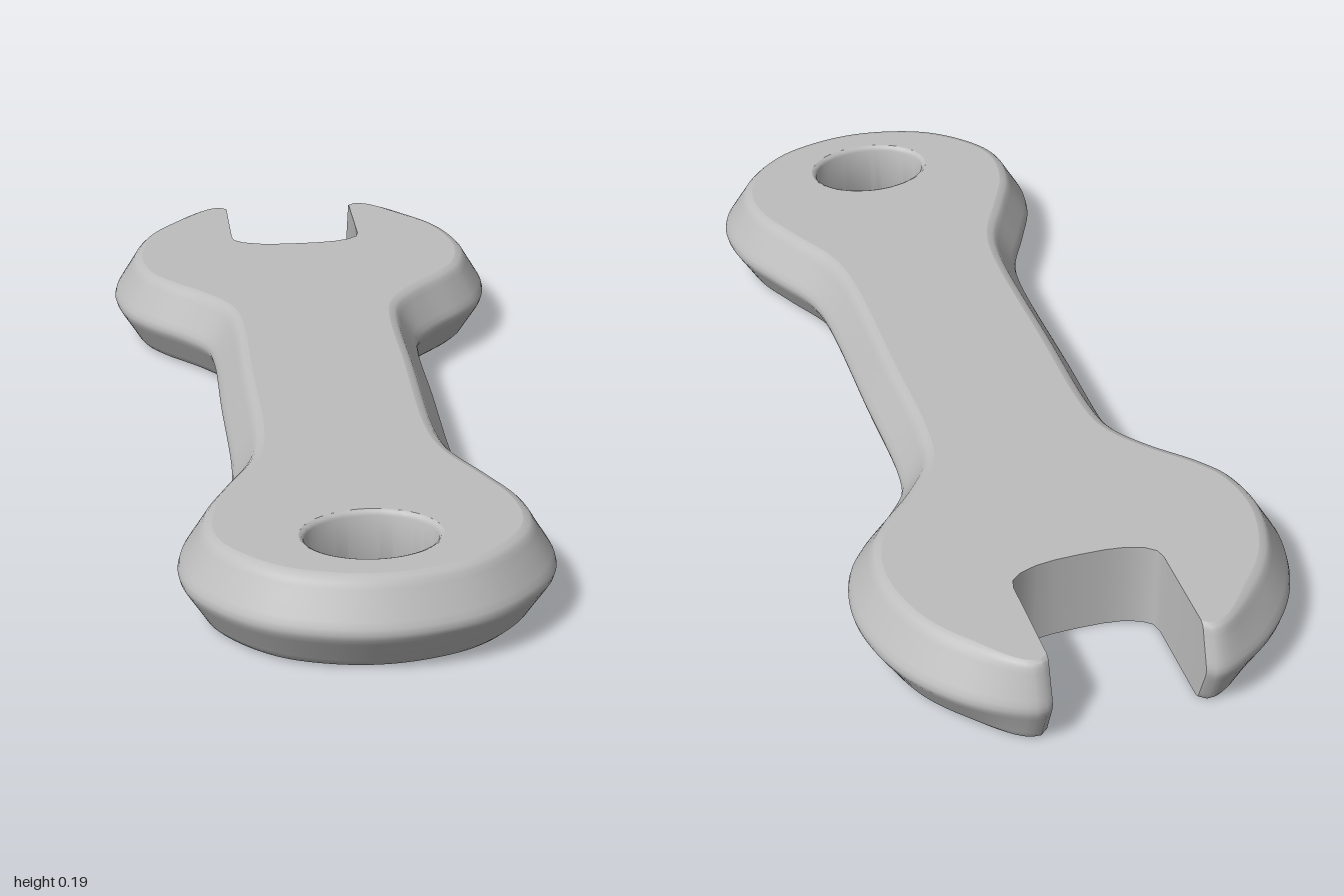
import * as THREE from 'three';
import { toCreasedNormals } from 'three/addons/utils/BufferGeometryUtils.js';

const HEIGHT = 0.186;
const steel = new THREE.MeshStandardMaterial({ color: 0xbdbdbd });
steel.name = 'steel grey';

// Right half of the outer edge, as [x, z] from jaw tip to handle end
const halfEdge = [
  [0.15, -0.985], [0.165, -0.997], [0.2, -0.992], [0.3, -0.93], [0.39, -0.815], [0.432, -0.66],
  [0.41, -0.53], [0.365, -0.46], [0.285, -0.375], [0.24, -0.31], [0.228, -0.24], [0.227, 0],
  [0.228, 0.34], [0.243, 0.42], [0.295, 0.525], [0.342, 0.63], [0.356, 0.73], [0.338, 0.81],
  [0.28, 0.89], [0.2, 0.952], [0.1, 0.988],
];
// Right half of the slot floor
const halfSlot = [[0.05, -0.701], [0.09, -0.706], [0.125, -0.718], [0.145, -0.734], [0.15, -0.755]];

const mirrored = (pts) => pts.map(([x, z]) => [-x, z]).reverse();

// Edge profile: [height, inset], widest at mid height
const upper = [[0.093, 0], [0.104, 0.003], [0.116, 0.01], [0.15, 0.031], [0.165, 0.04],
  [0.175, 0.046], [0.182, 0.053], [HEIGHT, 0.066]];
const profile = [...upper.slice(1).reverse().map(([y, d]) => [HEIGHT - y, d]), ...upper];

// Loop points with the direction in which each is inset
function outline() {
  const pts = [...halfEdge, [0, 1], ...mirrored(halfEdge)];
  const curve = new THREE.CatmullRomCurve3(pts.map(([x, z]) => new THREE.Vector3(x, 0, z)));
  const N = 260;
  const loop = [];
  for (let i = 0; i <= N; i++) {
    const p = curve.getPointAt(i / N), t = curve.getTangentAt(i / N);
    let dx = -t.z, dz = t.x;
    if (p.z < -0.8) { // jaw tips are inset along z only, so the slot stays straight
      const w = THREE.MathUtils.smoothstep(Math.abs(p.x), 0.15, 0.33);
      dx *= w;
      dz = THREE.MathUtils.lerp(0.6, dz, w);
    }
    loop.push({ x: p.x, z: p.z, dx, dz });
  }
  for (const [x, z] of [...mirrored(halfSlot), [0, -0.7], ...halfSlot]) loop.push({ x, z, dx: 0, dz: 0 });
  return loop;
}

// Oval hole, wound the other way so that its wall faces inward
function holeOutline() {
  const loop = [];
  for (let i = 0; i < 64; i++) {
    const a = -i / 64 * Math.PI * 2, c = Math.cos(a), s = Math.sin(a);
    loop.push({ x: 0.125 * c, z: 0.782 + 0.09 * s, dx: c, dz: s });
  }
  return loop;
}

const inset = (loop, d) => loop.map((p) => new THREE.Vector2(p.x + p.dx * d, p.z + p.dz * d));

// Wall through the inset loops at the profile heights
function wall(loop, rings) {
  const pos = [], idx = [], n = loop.length;
  rings.forEach(([y, d], j) => {
    for (const p of inset(loop, d)) pos.push(p.x, y, p.y);
    if (j === 0) return;
    for (let i = 0; i < n; i++) {
      const k = (i + 1) % n, a = (j - 1) * n + i, b = (j - 1) * n + k, c = j * n + k, e = j * n + i;
      idx.push(a, e, c, a, c, b);
    }
  });
  const g = new THREE.BufferGeometry();
  g.setAttribute('position', new THREE.Float32BufferAttribute(pos, 3));
  g.setIndex(idx);
  return toCreasedNormals(g, 0.8);
}

// Flat face with the hole cut out
function face(edge, hole, y, up) {
  const tris = THREE.ShapeUtils.triangulateShape(edge, [hole]);
  const pos = [];
  for (const p of [...edge, ...hole]) pos.push(p.x, y, p.y);
  const g = new THREE.BufferGeometry();
  g.setAttribute('position', new THREE.Float32BufferAttribute(pos, 3));
  g.setIndex(tris.flatMap(([a, b, c]) => (up ? [a, c, b] : [a, b, c])));
  g.computeVertexNormals();
  return g;
}

export function createModel() {
  const group = new THREE.Group();
  group.name = 'wrench';
  const add = (name, geometry) => {
    const mesh = new THREE.Mesh(geometry, steel);
    mesh.name = name;
    group.add(mesh);
  };

  const edge = outline(), hole = holeOutline();
  const holeRings = [[0, 0.01], [0.003, 0.004], [0.01, 0], [HEIGHT - 0.01, 0], [HEIGHT - 0.003, 0.004], [HEIGHT, 0.01]];
  const capEdge = inset(edge, upper[upper.length - 1][1]), capHole = inset(hole, 0.01);

  add('bevelledEdge', wall(edge, profile));
  add('hangingHole', wall(hole, holeRings));
  add('topFace', face(capEdge, capHole, HEIGHT, true));
  add('bottomFace', face(capEdge, capHole, 0, false));
  return group;
}
